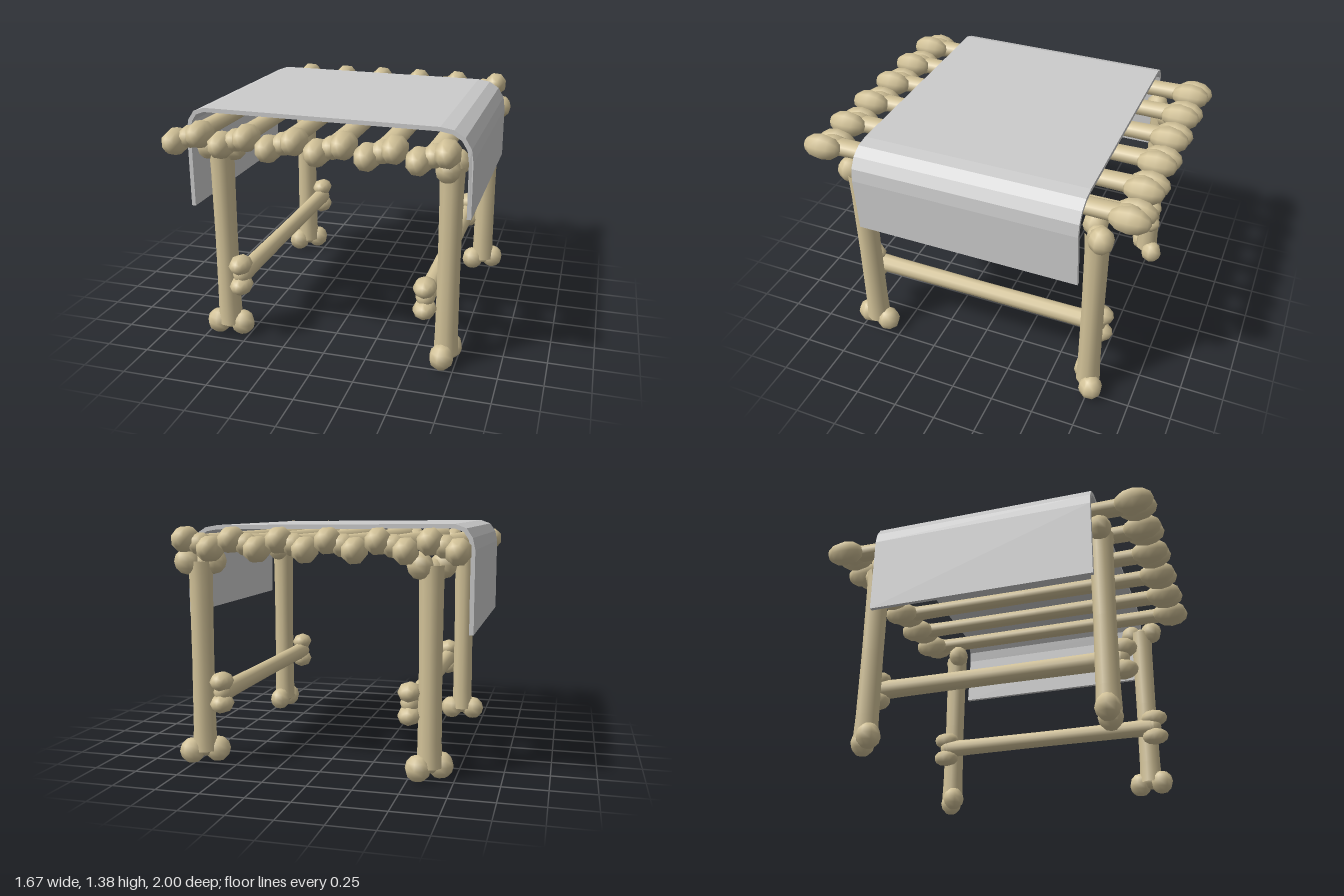
import * as THREE from 'three';

const boneMat = new THREE.MeshStandardMaterial({ color: 0xd2c298 });
const clothMat = new THREE.MeshStandardMaterial({ color: 0xcccccc, side: THREE.DoubleSide });

// Bone along y, centred on its middle; its paired knobs spread along x.
// knob = [radius across, radius along, radius deep], offset = knob distance from the axis
function bone(name, length, shaftX, shaftZ, knob, offset) {
  const g = new THREE.Group();
  g.name = name;
  const half = length / 2;
  const inner = half - knob[1];
  const profile = [[1.05, -inner], [0.98, -inner * 0.75], [0.94, 0], [0.98, inner * 0.75], [1.05, inner]]
    .map(([r, y]) => new THREE.Vector2(r, y));
  const shaft = new THREE.Mesh(new THREE.LatheGeometry(profile, 10), boneMat);
  shaft.name = 'shaft';
  shaft.scale.set(shaftX, 1, shaftZ);
  g.add(shaft);

  for (const end of [-1, 1]) {
    for (const side of [-1, 1]) {
      const k = new THREE.Mesh(new THREE.SphereGeometry(1, 8, 6), boneMat);
      k.name = 'knob';
      k.scale.set(knob[0], knob[1], knob[2]);
      k.position.set(side * offset, end * inner, 0);
      g.add(k);
    }
    // saddle that joins the two knobs
    const s = new THREE.Mesh(new THREE.SphereGeometry(1, 8, 6), boneMat);
    s.name = 'saddle';
    s.scale.set(offset, knob[1] * 0.75, knob[2] * 0.85);
    s.position.y = end * (inner - knob[1] * 0.25);
    g.add(s);
  }
  return g;
}

// Lay a bone along z and roll it about its own length
function layAlongZ(b, roll) {
  b.rotation.set(Math.PI / 2, 0, roll, 'ZYX');
  return b;
}

// Cloth: a thin draped strip, its section swept along z
function cloth() {
  const t = 0.012;
  const line = [[-0.818, 0.79], [-0.818, 1.24], [-0.805, 1.3], [-0.775, 1.345], [-0.72, 1.365],
    [0.62, 1.352], [0.69, 1.34], [0.745, 1.305], [0.778, 1.25], [0.788, 1.18], [0.788, 0.865]]
    .map(([x, y]) => new THREE.Vector2(x, y));
  const offsetSide = (d) => line.map((p, i) => {
    const a = line[Math.max(i - 1, 0)], b = line[Math.min(i + 1, line.length - 1)];
    const dir = b.clone().sub(a).normalize();
    return new THREE.Vector2(p.x - dir.y * d, p.y + dir.x * d);
  });
  const shape = new THREE.Shape([...offsetSide(t), ...offsetSide(-t).reverse()]);
  const geo = new THREE.ExtrudeGeometry(shape, { depth: 1.31, bevelEnabled: false });
  geo.translate(0, 0, -0.66);
  // the hanging right flap drifts slightly backwards
  const p = geo.attributes.position;
  for (let i = 0; i < p.count; i++) {
    if (p.getX(i) > 0.7 && p.getY(i) < 1.0) p.setZ(i, p.getZ(i) - 0.012);
  }
  geo.computeVertexNormals();
  const m = new THREE.Mesh(geo, clothMat);
  m.name = 'cloth';
  return m;
}

export function createModel() {
  const model = new THREE.Group();
  model.name = 'boneTable';

  // tabletop slats
  for (let i = 0; i < 6; i++) {
    const b = layAlongZ(bone('topBone', 2, 0.067, 0.05, [0.07, 0.113, 0.075], 0.076), 0.33);
    b.position.set(-0.7 + i * 0.267, 1.268, -0.005);
    model.add(b);
  }

  // legs: x, z, turn about y
  for (const [x, z, turn] of [
    [-0.615, 0.66, 0.1], [0.695, 0.66, 1.4], [-0.615, -0.735, 0.7], [0.695, -0.735, 0.5],
  ]) {
    const b = bone('leg', 1.24, 0.068, 0.068, [0.074, 0.075, 0.07], 0.072);
    b.position.set(x, 0.62, z);
    b.rotation.y = turn;
    model.add(b);
  }

  // side stretchers
  for (const x of [-0.505, 0.58]) {
    const b = layAlongZ(bone('stretcher', 1.64, 0.055, 0.052, [0.057, 0.085, 0.066], 0.064), Math.PI / 2);
    b.position.set(x, 0.42, -0.01);
    model.add(b);
  }

  model.add(cloth());
  return model;
}
